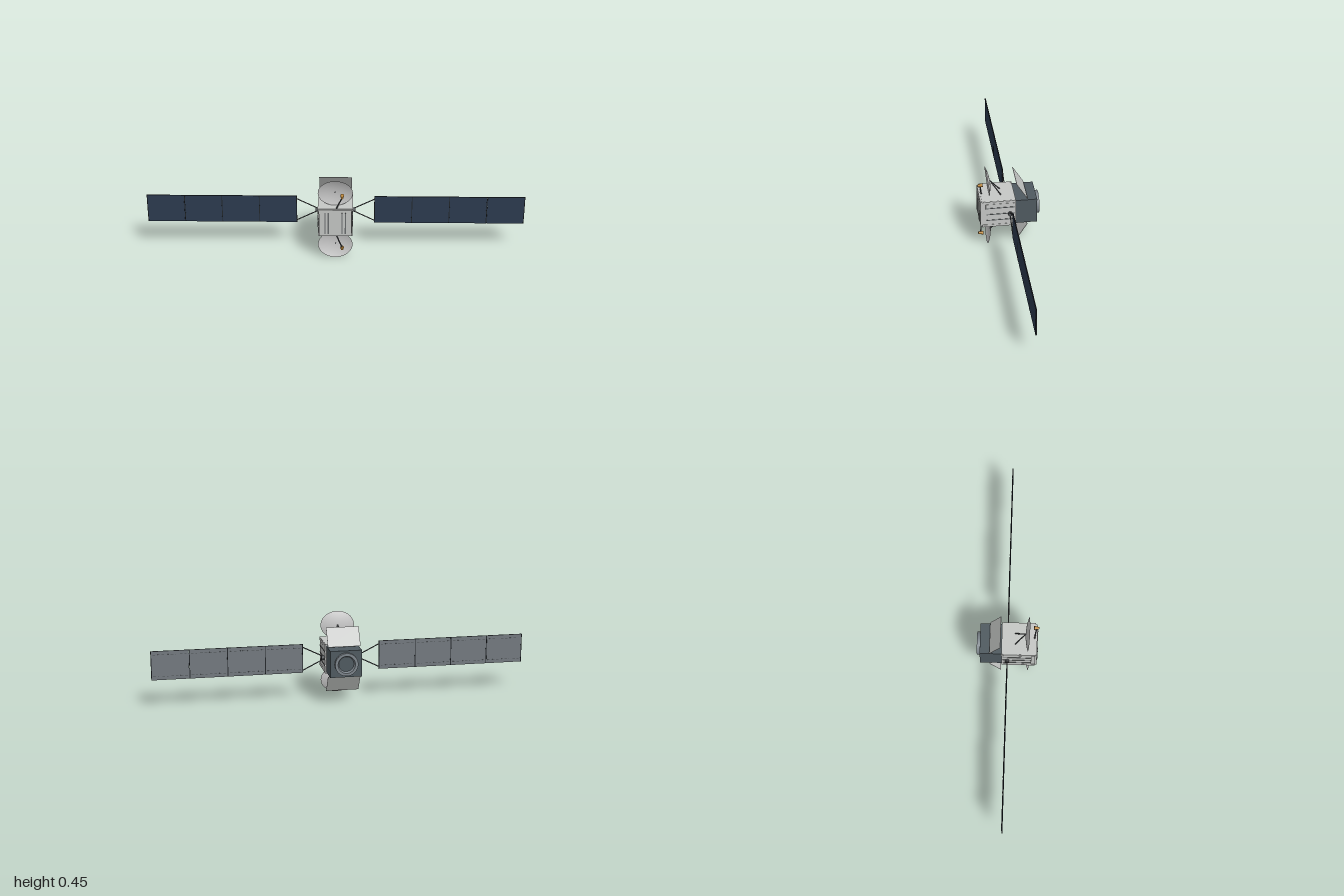
import * as THREE from 'three';

const mat = (name, color, side = THREE.FrontSide) => {
  const m = new THREE.MeshStandardMaterial({ color, side });
  m.name = name;
  return m;
};

const CY = 0.226; // height of the spacecraft axis

export function createModel() {
  const hull = mat('hull light grey', 0xc6c8c6);
  const dishGrey = mat('dish grey', 0xc8c8c8, THREE.DoubleSide);
  const slate = mat('service module slate', 0x4f5a60);
  const metal = mat('ring metal', 0x7d858c, THREE.DoubleSide);
  const strutGrey = mat('strut grey', 0x4c4f52);
  const black = mat('edge black', 0x23272b);
  const gold = mat('feed gold', 0xc08a3c, THREE.DoubleSide);
  const cells = mat('solar cell navy', 0x2c3b50);
  const panelBack = mat('panel back grey', 0x737a80);
  const rib = mat('rib grey', 0x686c6e);

  const root = new THREE.Group();
  root.name = 'satellite';

  const add = (parent, name, geo, material, x = 0, y = 0, z = 0) => {
    const m = new THREE.Mesh(geo, material);
    m.name = name;
    m.position.set(x, y, z);
    parent.add(m);
    return m;
  };
  const box = (parent, name, material, w, h, d, x, y, z) =>
    add(parent, name, new THREE.BoxGeometry(w, h, d), material, x, y, z);
  const rod = (parent, name, a, b, r, material = strutGrey) => {
    const p = new THREE.Vector3(...a), q = new THREE.Vector3(...b);
    const dir = q.clone().sub(p);
    const m = add(parent, name, new THREE.CylinderGeometry(r, r, dir.length(), 8), material);
    m.position.copy(p).add(q).multiplyScalar(0.5);
    m.quaternion.setFromUnitVectors(new THREE.Vector3(0, 1, 0), dir.normalize());
    return m;
  };

  // Main bus with end plates
  const bus = new THREE.Group();
  bus.name = 'bus';
  root.add(bus);
  box(bus, 'busBody', hull, 0.176, 0.158, 0.172, 0, CY, 0.061);
  box(bus, 'frontPlate', hull, 0.17, 0.152, 0.009, 0, CY, 0.151);
  box(bus, 'rearFlange', hull, 0.182, 0.159, 0.007, 0, CY, -0.0275);

  // Raised front panel with vertical louvres
  box(bus, 'frontPanel', hull, 0.13, 0.122, 0.003, 0, CY, 0.157);
  for (const x of [-0.053, -0.036, 0.036, 0.053])
    box(bus, 'frontLouvre', rib, 0.006, 0.122, 0.003, x, CY, 0.1585);

  // Side radiators with horizontal ribs
  for (const s of [-1, 1]) {
    box(bus, 'sidePanel', hull, 0.004, 0.126, 0.153, s * 0.089, CY, 0.051);
    for (const y of [0.19, CY, 0.264])
      box(bus, 'sideRib', rib, 0.005, 0.004, 0.15, s * 0.0905, y, 0.05);
    for (const t of [-1, 1])
      box(bus, 'sideRail', hull, 0.006, 0.014, 0.176, s * 0.088, CY + t * 0.071, 0.059);
  }

  // Service module and docking ring at the rear
  box(root, 'serviceModule', slate, 0.168, 0.142, 0.114, 0, CY, -0.088);
  const ringProfile = [[0.061, 0], [0.061, 0.017], [0.046, 0.017], [0.04, 0.003]]
    .map(([r, h]) => new THREE.Vector2(r, h));
  const ring = add(root, 'rearRing', new THREE.LatheGeometry(ringProfile, 40).toNonIndexed(), metal, 0, CY, -0.145);
  ring.geometry.computeVertexNormals();
  ring.rotation.x = -Math.PI / 2;
  const cap = add(root, 'ringFloor', new THREE.CircleGeometry(0.041, 32), slate, 0, CY, -0.148);
  cap.rotation.y = Math.PI;

  // Shallow elliptical reflector, its bowl opening along +y before rotation
  const bowl = [];
  for (let i = 0; i <= 10; i++) bowl.push(new THREE.Vector2(i / 10, (i / 10) ** 2));
  const dishGeo = new THREE.LatheGeometry(bowl, 48);
  dishGeo.scale(0.091, 0.0145, 0.0735);
  dishGeo.rotateX(Math.PI / 2);

  // Antenna assemblies above and below
  for (const s of [1, -1]) {
    const g = new THREE.Group();
    g.name = s > 0 ? 'upperAntenna' : 'lowerAntenna';
    root.add(g);
    const Y = (h) => CY + s * h;

    const dish = add(g, 'dish', dishGeo, dishGrey, 0, Y(0.152), 0.0945);
    dish.rotation.x = s * 0.098;
    const hub = add(g, 'dishHub', new THREE.CylinderGeometry(0.003, 0.003, 0.004, 12), strutGrey, 0, Y(0.152), 0.095);
    hub.rotation.x = Math.PI / 2;
    for (const t of [-1, 1])
      rod(g, 'dishStrut', [t * 0.03, Y(0.078), 0.04], [0, Y(0.152), 0.094], 0.003);

    // Feed horn on its mast, wide end towards the dish
    rod(g, 'feedMast', [0.005, Y(0.076), 0.141], [0.036, Y(0.146), 0.15], 0.0035);
    const horn = add(g, 'feedHorn', new THREE.CylinderGeometry(0.0065, 0.0098, 0.026, 20), gold, 0.036, Y(0.151), 0.15);
    horn.rotation.x = Math.PI / 2 + s * 0.1;

    // Tilted rear shield plate
    const shield = box(g, 'rearShield', hull, 0.174, 0.109, 0.002, 0, Y(0.126), -0.0645);
    shield.rotation.x = s * Math.atan2(0.057, 0.092);
  }

  // Solar wings
  for (const s of [-1, 1]) {
    const w = new THREE.Group();
    w.name = s > 0 ? 'leftWing' : 'rightWing';
    root.add(w);
    const pivot = add(w, 'wingPivot', new THREE.CylinderGeometry(0.011, 0.011, 0.02, 20), strutGrey, s * 0.096, CY, 0);
    pivot.rotation.z = Math.PI / 2;
    for (const t of [-1, 1])
      rod(w, 'yokeArm', [s * 0.1, CY + t * 0.01, 0], [s * 0.208, CY + t * 0.064, 0], 0.003);

    const faces = [black, black, black, black, cells, panelBack];
    const pitch = 0.1985;
    for (let i = 0; i < 4; i++) {
      const x = 0.206 + pitch * (i + 0.5);
      box(w, 'solarPanel', faces, pitch - 0.003, 0.155, 0.005, s * x, 0.228, 0);
      // Dashed wiring along the back
      for (const t of [-1, 1])
        for (let k = 0; k < 8; k++)
          box(w, 'backWiring', strutGrey, 0.014, 0.002, 0.001,
            s * (x + (k - 3.5) * 0.0235), 0.228 + t * 0.058, -0.0028);
    }
    // Hinge bars between panels and at both ends
    for (let i = 0; i <= 4; i++)
      box(w, 'hingeBar', black, 0.004, 0.155, 0.006, s * (0.2065 + i * 0.1979), 0.228, 0);
  }
  return root;
}
